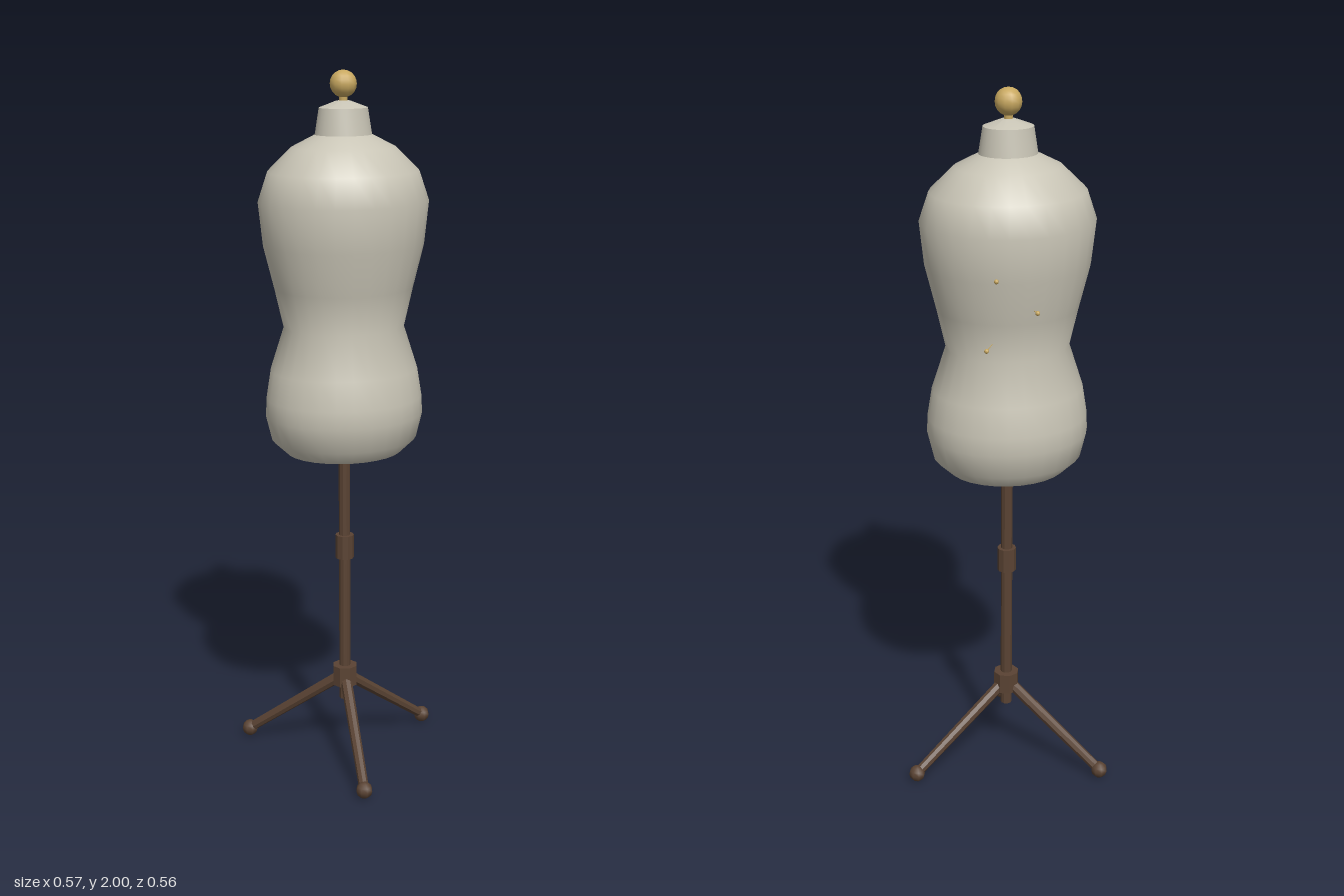
import * as THREE from 'three';
import { toCreasedNormals } from 'three/addons/utils/BufferGeometryUtils.js';

const linen = new THREE.MeshStandardMaterial({ color: 0xc8c4b5 });
linen.name = 'linen';
const wood = new THREE.MeshStandardMaterial({ color: 0x5a4333 });
wood.name = 'dark wood';
const brass = new THREE.MeshStandardMaterial({ color: 0xc8a860 });
brass.name = 'brass';

const DEPTH = 0.89; // the body is narrower front to back

function part(parent, name, geometry, material, x = 0, y = 0, z = 0) {
  const mesh = new THREE.Mesh(geometry, material);
  mesh.name = name;
  mesh.position.set(x, y, z);
  parent.add(mesh);
  return mesh;
}

// Cylinder between two points
function rod(parent, name, from, to, r0, r1, sides, material) {
  const dir = to.clone().sub(from);
  const geometry = toCreasedNormals(new THREE.CylinderGeometry(r1, r0, dir.length(), sides), 0.6);
  const mesh = part(parent, name, geometry, material);
  mesh.position.copy(from).add(to).multiplyScalar(0.5);
  mesh.quaternion.setFromUnitVectors(new THREE.Vector3(0, 1, 0), dir.normalize());
  return mesh;
}

function lathe(points, crease) {
  const profile = points.map(([r, y]) => new THREE.Vector2(r, y));
  let geometry = new THREE.LatheGeometry(profile, 28);
  geometry.scale(1, 1, DEPTH);
  if (crease) geometry = toCreasedNormals(geometry, crease);
  return geometry;
}

export function createModel() {
  const model = new THREE.Group();
  model.name = 'dressForm';
  const form = new THREE.Group();
  form.name = 'formOnStand';
  form.position.set(-0.035, 0, -0.047);
  model.add(form);

  // Padded torso and its closed underside
  part(form, 'torso', lathe([
    [0.165, 0.94], [0.208, 0.98], [0.225, 1.05], [0.223, 1.1], [0.21, 1.18],
    [0.171, 1.3], [0.196, 1.41], [0.226, 1.53], [0.239, 1.65], [0.212, 1.73],
    [0.145, 1.795], [0.076, 1.83],
  ]), linen);
  part(form, 'torsoBase', lathe([[0, 0.935], [0.04, 0.935], [0.165, 0.94]]), linen);

  // Neck with a shallow cap and a finial
  part(form, 'neck', lathe([[0.08, 1.825], [0.068, 1.9], [0.02, 1.918], [0, 1.92]], 0.7), linen);
  part(form, 'finial', new THREE.SphereGeometry(0.037, 12, 10), brass, 0, 1.963, 0);
  part(form, 'finialStem', new THREE.CylinderGeometry(0.012, 0.012, 0.03, 10), brass, 0, 1.922, 0);

  // Stand: pole, height collar and leg hub
  const turned = (r, h, sides) => toCreasedNormals(new THREE.CylinderGeometry(r, r, h, sides), 0.6);
  part(form, 'pole', turned(0.0165, 0.775, 10), wood, 0, 0.5625, 0);
  part(form, 'heightCollar', turned(0.027, 0.07, 10), wood, 0, 0.65, 0);
  part(form, 'legHub', turned(0.037, 0.06, 8), wood, 0, 0.25, 0);

  // Three splayed legs with ball feet
  for (const [x, z] of [[0.295, -0.09], [-0.227, -0.209], [-0.068, 0.302]]) {
    const foot = new THREE.Vector3(x, 0.028, z);
    rod(form, 'leg', new THREE.Vector3(x * 0.05, 0.24, z * 0.05), foot, 0.017, 0.014, 8, wood);
    part(form, 'foot', new THREE.SphereGeometry(0.024, 8, 6), wood, x, 0.028, z);
  }

  // Pins in the back, each a bead on a fine needle
  for (const [x, y, z] of [[0.111, 1.355, -0.196], [-0.024, 1.45, -0.205], [0.084, 1.54, -0.193]]) {
    part(form, 'pinHead', new THREE.SphereGeometry(0.0065, 8, 6), brass, x, y, z);
    rod(form, 'pinNeedle', new THREE.Vector3(x * 0.6, y, z * 0.6), new THREE.Vector3(x, y, z),
      0.001, 0.001, 5, brass);
  }

  return model;
}
